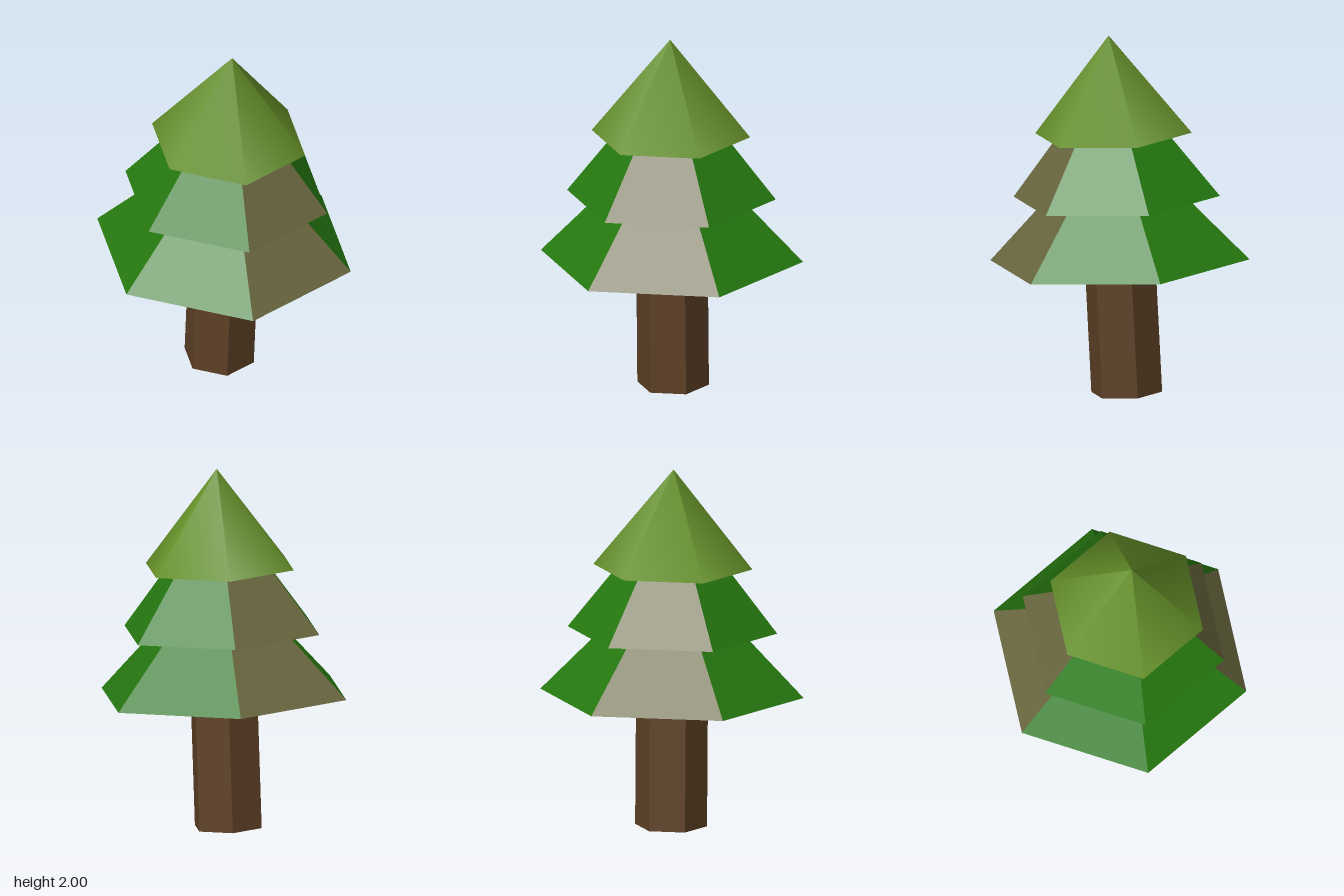
import * as THREE from 'three';

const SIDES = 6;
const START = Math.PI / 6; // puts corners on the x axis, flats facing front and back

function makeMaterial(name, color) {
  const material = new THREE.MeshStandardMaterial({ color });
  material.name = name;
  return material;
}

// Six-sided solid standing from y0 to y1
function hexSolid(bottomRadius, topRadius, y0, y1) {
  const geometry = new THREE.CylinderGeometry(topRadius, bottomRadius, y1 - y0, SIDES, 1, false, START);
  return geometry.translate(0, (y0 + y1) / 2, 0);
}

function faceted(geometry) {
  const flat = geometry.toNonIndexed();
  flat.computeVertexNormals();
  return flat;
}

export function createModel() {
  const bark = makeMaterial('bark brown', 0x5e4126);
  const green = makeMaterial('deep green', 0x267a10);
  const moss = makeMaterial('dull moss', 0x6a683f);
  const olive = makeMaterial('light olive green', 0x648f28);

  // Whole tree leans slightly to the front
  const tree = new THREE.Group();
  tree.name = 'leaningTree';
  tree.rotation.x = THREE.MathUtils.degToRad(3);
  tree.position.set(0, 0.01, -0.035);

  const add = (name, geometry, material) => {
    const mesh = new THREE.Mesh(geometry, material);
    mesh.name = name;
    tree.add(mesh);
  };

  add('trunk', faceted(hexSolid(0.198, 0.198, 0, 0.745)), bark);

  // Lower and middle tiers: front and back flats are moss, the rest green
  const tiers = [
    ['lowerBranches', 0.725, 0.38, 0.738, 1.094],
    ['middleBranches', 0.577, 0.3, 1.093, 1.448],
  ];
  for (const [name, bottom, top, y0, y1] of tiers) {
    const geometry = hexSolid(bottom, top, y0, y1);
    const total = geometry.index.count;
    geometry.clearGroups();
    for (let i = 0; i < SIDES; i++) geometry.addGroup(i * 6, 6, i % 3 === 2 ? 1 : 0);
    geometry.addGroup(SIDES * 6, total - SIDES * 6, 0);
    add(name, faceted(geometry), [green, moss]);
  }

  // Smooth-shaded crown
  add('crown', hexSolid(0.438, 0, 1.447, 1.992), olive);

  const model = new THREE.Group();
  model.name = 'pineTree';
  model.add(tree);
  return model;
}
